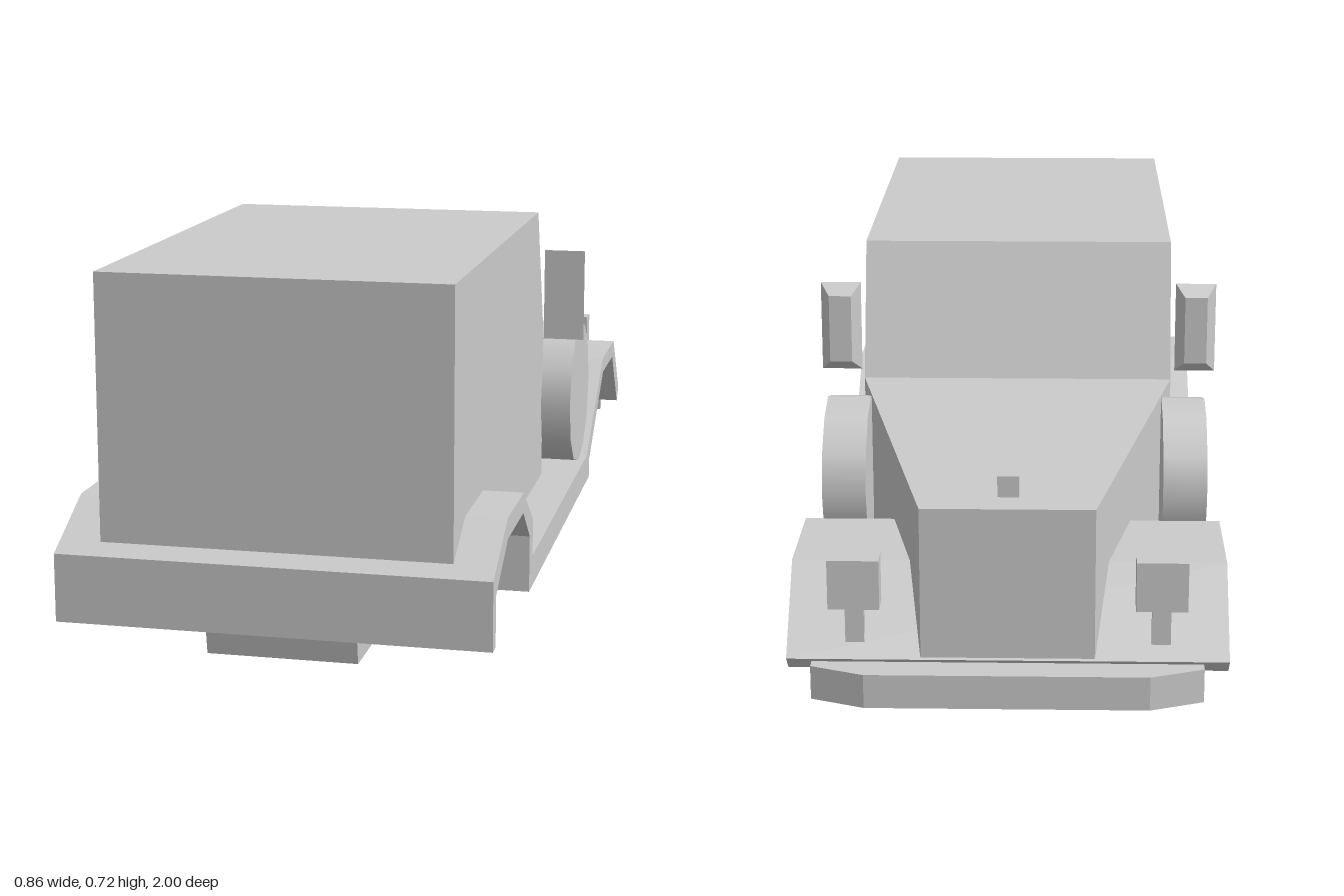
import * as THREE from 'three';

export function createModel() {
  const model = new THREE.Group();
  const material = new THREE.MeshStandardMaterial({ color: 0xcccccc, side: THREE.DoubleSide });

  function add(name, geometry, x = 0, y = 0, z = 0) {
    const mesh = new THREE.Mesh(geometry, material);
    mesh.name = name;
    mesh.position.set(x, y, z);
    model.add(mesh);
    return mesh;
  }

  // Box given by its extents
  function addBox(name, [x0, x1], [y0, y1], [z0, z1]) {
    return add(name, new THREE.BoxGeometry(x1 - x0, y1 - y0, z1 - z0),
      (x0 + x1) / 2, (y0 + y1) / 2, (z0 + z1) / 2);
  }

  const makeShape = (points) => new THREE.Shape(points.map(([a, b]) => new THREE.Vector2(a, b)));

  // Side outline of [z, y] points, extruded symmetrically across x
  function sideExtrude(points, width) {
    return new THREE.ExtrudeGeometry(makeShape(points), { depth: width, bevelEnabled: false })
      .rotateY(-Math.PI / 2).translate(width / 2, 0, 0);
  }

  // Move every vertex by a rule, then restore flat faces
  function reshape(geometry, rule) {
    const pos = geometry.attributes.position;
    const v = new THREE.Vector3();
    for (let i = 0; i < pos.count; i++) {
      rule(v.fromBufferAttribute(pos, i));
      pos.setXYZ(i, v.x, v.y, v.z);
    }
    geometry.computeVertexNormals();
    return geometry;
  }

  // Cabin with sloping windshield
  add('cabin', sideExtrude([
    [0.965, 0.11], [0.965, 0.72], [0, 0.72], [-0.1, 0.44], [-0.1, 0.11],
  ], 0.66));

  // Hood narrowing to the nose, with the underside rising slightly
  add('hood', reshape(new THREE.BoxGeometry(1, 1, 1), (v) => {
    const nose = v.z < 0;
    v.x *= nose ? 0.32 : 0.66;
    v.y = v.y > 0 ? 0.44 : nose ? 0.15 : 0.115;
    v.z = nose ? -0.93 : -0.1;
  }));
  addBox('hoodOrnament', [-0.02, 0.02], [0.44, 0.48], [-0.865, -0.825]);

  // Fenders, running boards and tail wall as one folded band
  add('fenders', sideExtrude([
    [1, 0.07], [1, 0.2], [0.85, 0.275], [0.665, 0.275], [0.54, 0.19], [0.54, 0.115],
    [-0.295, 0.115], [-0.575, 0.29], [-0.8, 0.29], [-0.93, 0.145],
    [-0.9, 0.115], [-0.775, 0.255], [-0.585, 0.255], [-0.338, 0.095], [-0.338, 0.053],
    [0.58, 0.053], [0.58, 0.165], [0.665, 0.235], [0.845, 0.235], [0.97, 0.165], [0.97, 0.07],
  ], 0.816));

  // Chassis blocks and axles
  add('rearChassis', sideExtrude([[0.935, 0.115], [0.915, 0], [0.6, 0], [0.55, 0.08], [0.55, 0.115]], 0.288));
  add('frontChassis', sideExtrude([[-0.48, 0.13], [-0.505, 0], [-0.825, 0], [-0.858, 0.155]], 0.288));
  addBox('rearAxle', [-0.337, 0.337], [0.012, 0.085], [0.732, 0.803]);
  addBox('frontAxle', [-0.337, 0.337], [0.012, 0.085], [-0.68, -0.609]);

  // Front bumper with swept-back ends
  const bumperOutline = makeShape([
    [-0.36, 0.94], [0.36, 0.94], [0.36, 0.962], [0.26, 1], [-0.26, 1], [-0.36, 0.962],
  ]);
  add('bumper', new THREE.ExtrudeGeometry(bumperOutline, { depth: 0.065, bevelEnabled: false })
    .rotateX(-Math.PI / 2), 0, 0.08, 0);

  // Paired parts
  for (const side of [-1, 1]) {
    const label = side > 0 ? 'left' : 'right';
    const span = (a, b) => side > 0 ? [a, b] : [-b, -a];

    add(label + 'SpareWheel', new THREE.CylinderGeometry(0.162, 0.162, 0.09, 12).rotateZ(Math.PI / 2),
      side * 0.35, 0.278, -0.24);

    addBox(label + 'Headlight', span(0.235, 0.33), [0.24, 0.335], [-0.922, -0.875]);
    addBox(label + 'HeadlightPost', span(0.265, 0.3), [0.16, 0.24], [-0.908, -0.888]);

    // Mirror housing tapering forward
    add(label + 'Mirror', reshape(new THREE.BoxGeometry(0.087, 0.195, 0.03), (v) => {
      if (v.z < 0) { v.x *= 0.55; v.y *= 0.75; }
    }), side * 0.385, 0.537, -0.043);
  }

  return model;
}
